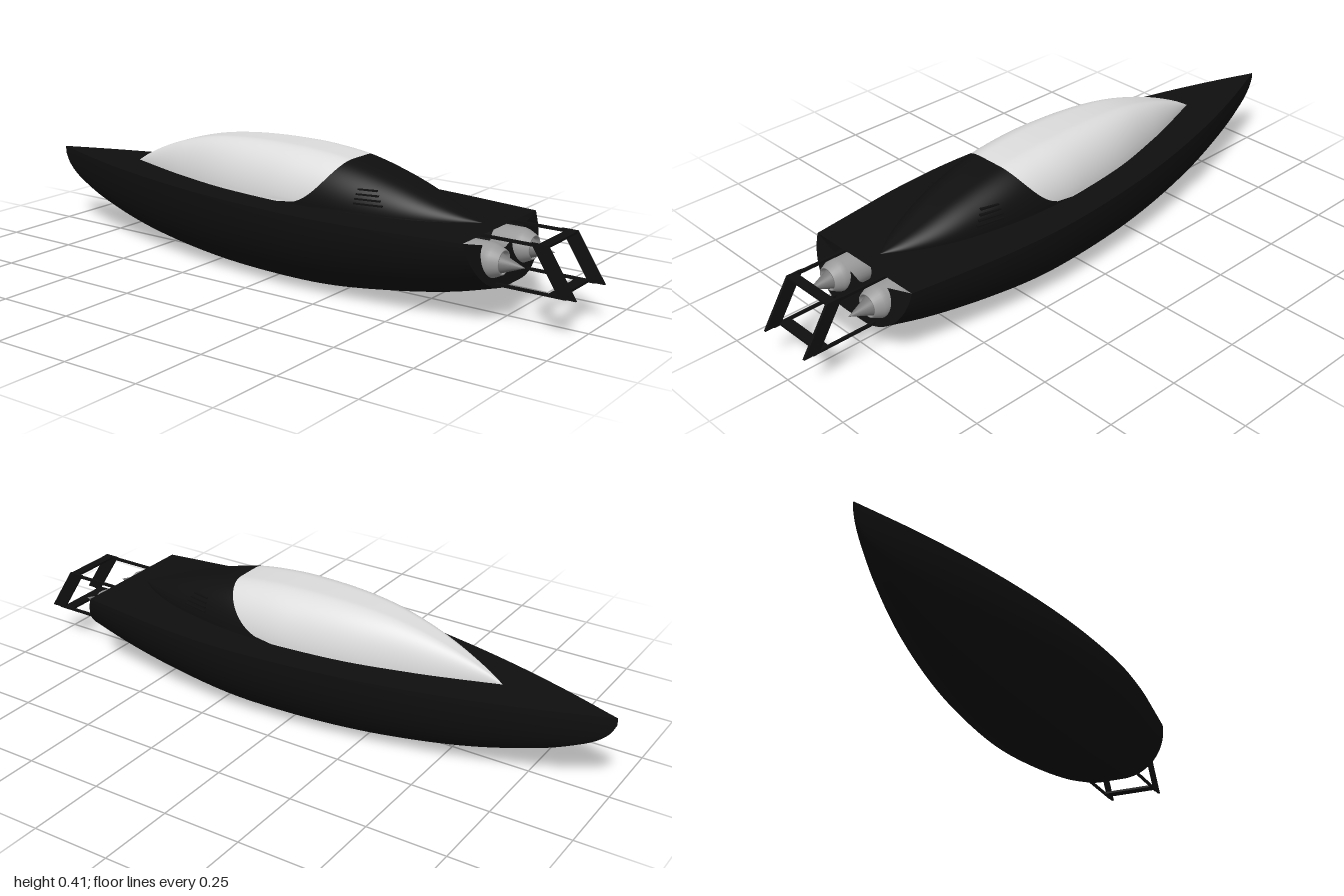
import * as THREE from 'three';

const black = new THREE.MeshStandardMaterial({ name: 'gloss black', color: 0x0f0f0f, side: THREE.DoubleSide });
const silver = new THREE.MeshStandardMaterial({ name: 'canopy silver', color: 0xdcdcdc, side: THREE.DoubleSide });
const steel = new THREE.MeshStandardMaterial({ name: 'nozzle steel', color: 0x999999, side: THREE.DoubleSide });
const darkSteel = new THREE.MeshStandardMaterial({ name: 'cone steel', color: 0x777777 });

const DECK = 0.257;

// Smooth interpolation through [x, value] points
function curve(points) {
  const slope = (i) => {
    const a = points[Math.max(i - 1, 0)], b = points[Math.min(i + 1, points.length - 1)];
    return (b[1] - a[1]) / (b[0] - a[0]);
  };
  return (x) => {
    let i = 0;
    while (i < points.length - 2 && x > points[i + 1][0]) i++;
    const [x0, y0] = points[i], [x1, y1] = points[i + 1];
    const d = x1 - x0, t = THREE.MathUtils.clamp((x - x0) / d, 0, 1), s = 1 - t;
    return y0 * (1 + 2 * t) * s * s + slope(i) * d * t * s * s
      + y1 * t * t * (3 - 2 * t) - slope(i + 1) * d * t * t * s;
  };
}

// Surface from a function of (u, v)
function surface(fn, nu, nv) {
  const pos = [], index = [];
  for (let i = 0; i <= nu; i++) for (let j = 0; j <= nv; j++) pos.push(...fn(i / nu, j / nv));
  for (let i = 0; i < nu; i++) for (let j = 0; j < nv; j++) {
    const a = i * (nv + 1) + j, b = a + nv + 1;
    index.push(a, a + 1, b, b, a + 1, b + 1);
  }
  const g = new THREE.BufferGeometry();
  g.setAttribute('position', new THREE.Float32BufferAttribute(pos, 3));
  g.setIndex(index);
  g.computeVertexNormals();
  return g;
}

// Half beam and keel height along the hull
const beam = curve([[-1, 0], [-0.8, 0.075], [-0.6, 0.138], [-0.4, 0.188], [-0.2, 0.226], [0, 0.25],
  [0.2, 0.261], [0.4, 0.252], [0.6, 0.231], [0.765, 0.212]]);
const keel = curve([[-1, 0.235], [-0.985, 0.205], [-0.95, 0.172], [-0.9, 0.145], [-0.8, 0.106], [-0.6, 0.055],
  [-0.4, 0.024], [-0.2, 0.006], [0, 0], [0.2, 0.004], [0.4, 0.026], [0.6, 0.06], [0.765, 0.102]]);

// Raked transom: the after body is shortened towards the deck
function rake(x, y) {
  const end = 0.765 - 0.3 * (y - 0.1);
  return x > 0.4 ? 0.4 + (x - 0.4) * (end - 0.4) / 0.365 : x;
}
// Half-round section with a flat middle; side goes from +1 to -1 over v
function section(v, w, flat) {
  const right = v <= 0.5, a = (right ? v : 1 - v) * 2;
  const th = Math.min(a / 0.92, 1) * Math.PI / 2;
  const z = a > 0.92 ? flat * w * (1 - a) / 0.08 : w * (flat + (1 - flat) * Math.cos(th));
  return [right ? z : -z, Math.sin(th)];
}
const station = (u) => -1 + 1.765 * Math.pow(u, 1.5);
function hullPoint(u, v) {
  const x = station(u), [z, s] = section(v, beam(x), 0.2);
  const y = DECK - (DECK - keel(x)) * s;
  return [rake(x, y), y, z];
}
function deckPoint(u, v) {
  const x = station(u);
  return [rake(x, DECK), DECK, (2 * v - 1) * beam(x)];
}
function transomPoint(u, v) {
  const p = hullPoint(1, v), c = [rake(0.765, 0.2), 0.2, 0];
  return p.map((n, i) => n + (c[i] - n) * u);
}

// Cabin profile and half width
const roof = curve([[-0.65, DECK], [-0.6, 0.287], [-0.5, 0.332], [-0.4, 0.366], [-0.3, 0.39], [-0.2, 0.403],
  [-0.1, 0.409], [0, 0.41], [0.1, 0.407], [0.24, 0.391], [0.4, 0.35], [0.55, 0.297], [0.66, DECK]]);
const cabin = curve([[-0.65, 0], [-0.5, 0.05], [-0.4, 0.08], [-0.2, 0.128], [0, 0.152], [0.1, 0.155],
  [0.25, 0.147], [0.4, 0.12], [0.5, 0.09], [0.6, 0.042], [0.66, 0]]);
function cabinPoint(x, v) {
  const [z, s] = section(1 - v, cabin(x), 0.26);
  return [x, DECK + (roof(x) - DECK) * s, z];
}
// Curved rear edge of the canopy
const edge = (v) => 0.05 + 0.19 * Math.pow(Math.abs(section(v, 1, 0.26)[1]), 0.4);

export function createModel() {
  const model = new THREE.Group();
  const add = (name, geometry, material, x = 0, y = 0, z = 0) => {
    const m = new THREE.Mesh(geometry, material);
    m.name = name;
    m.position.set(x, y, z);
    model.add(m);
    return m;
  };

  // Hull and cabin
  add('hull', surface(hullPoint, 60, 50), black);
  add('deck', surface(deckPoint, 60, 2), black);
  add('transom', surface(transomPoint, 2, 50), black);
  add('canopy', surface((u, v) => cabinPoint(-0.65 + (edge(v) + 0.65) * u, v), 40, 60), silver);
  add('rearCowl', surface((u, v) => cabinPoint(edge(v) + (0.66 - edge(v)) * u, v), 30, 60), black);

  // Paired parts: vents, nozzles and wing supports
  for (const side of [-1, 1]) {
    for (let i = 0; i < 4; i++) {
      const y = 0.288 + i * 0.013, x = 0.355 - i * 0.004;
      const s = (y - DECK) / (roof(x) - DECK);
      const z = cabin(x) * (0.26 + 0.74 * Math.sqrt(1 - s * s));
      add('ventSlat', new THREE.BoxGeometry(0.09 - i * 0.01, 0.004, 0.012), black, x, y, side * z)
        .rotation.y = side * 0.2;
    }

    const z = side * 0.09;
    const nozzle = [[0.052, -0.06], [0.052, 0.015], [0.048, 0.03], [0.036, 0.055], [0.032, 0.055], [0.03, 0.04]];
    add('nozzle', new THREE.LatheGeometry(nozzle.map((p) => new THREE.Vector2(...p)), 32), steel, 0.725, 0.185, z)
      .rotation.z = -Math.PI / 2;
    add('nozzleCone', new THREE.ConeGeometry(0.031, 0.08, 32), darkSteel, 0.805, 0.181, z)
      .rotation.z = -Math.PI / 2;

    const fin = new THREE.Shape([[0.86, 0.257], [0.91, 0.257], [1, 0.117], [0.95, 0.117]]
      .map((p) => new THREE.Vector2(...p)));
    add('fin', new THREE.ExtrudeGeometry(fin, { depth: 0.008, bevelEnabled: false }), black, 0, 0, z - 0.004);
    add('upperStrut', new THREE.BoxGeometry(0.2, 0.008, 0.008), black, 0.79, 0.251, z);
    add('lowerStrut', new THREE.BoxGeometry(0.24, 0.008, 0.008), black, 0.85, 0.119, z);
  }

  // Cross wings between the fins
  add('upperWing', new THREE.BoxGeometry(0.03, 0.007, 0.184), black, 0.895, 0.252, 0);
  add('lowerWing', new THREE.BoxGeometry(0.036, 0.007, 0.184), black, 0.934, 0.119, 0);
  return model;
}
